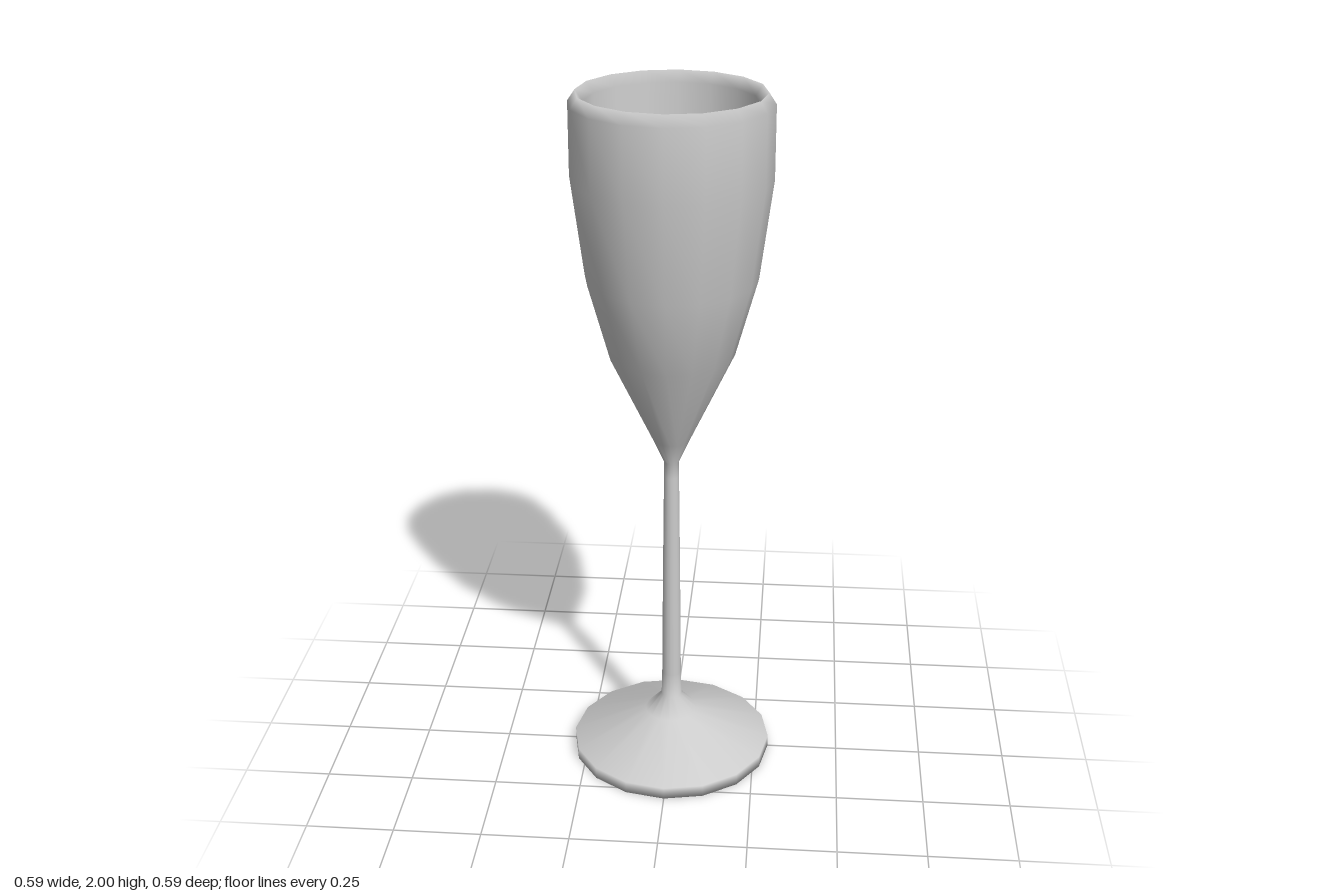
import * as THREE from 'three';

const SIDES = 16;

// Parts meet along the straight stem, so the smooth shading runs through the joints.
const PROFILES = {
  // flat underside, thin rim, sloping top and flare into the stem
  foot: [[0, 0], [0.293, 0], [0.293, 0.035], [0.078, 0.125], [0.03, 0.177], [0.028, 0.25]],
  // slightly tapered stem
  stem: [[0.028, 0.25], [0.025, 0.6], [0.0215, 0.9]],
  // outer wall, rounded lip, then inner wall down to the bottom of the cup
  bowl: [
    [0.0215, 0.9], [0.021, 0.945], [0.052, 1.015], [0.175, 1.275], [0.236, 1.495],
    [0.272, 1.77], [0.272, 1.97], [0.252, 2], [0.232, 1.97],
    [0.235, 1.77], [0.2, 1.5], [0.14, 1.29], [0.02, 1.04], [0, 1.02],
  ],
};

export function createModel() {
  const group = new THREE.Group();
  group.name = 'champagneFlute';
  const material = new THREE.MeshStandardMaterial({ color: 0xcccccc });

  for (const [name, profile] of Object.entries(PROFILES)) {
    const points = profile.map(([r, y]) => new THREE.Vector2(r, y));
    const mesh = new THREE.Mesh(new THREE.LatheGeometry(points, SIDES), material);
    mesh.name = name;
    group.add(mesh);
  }
  return group;
}
